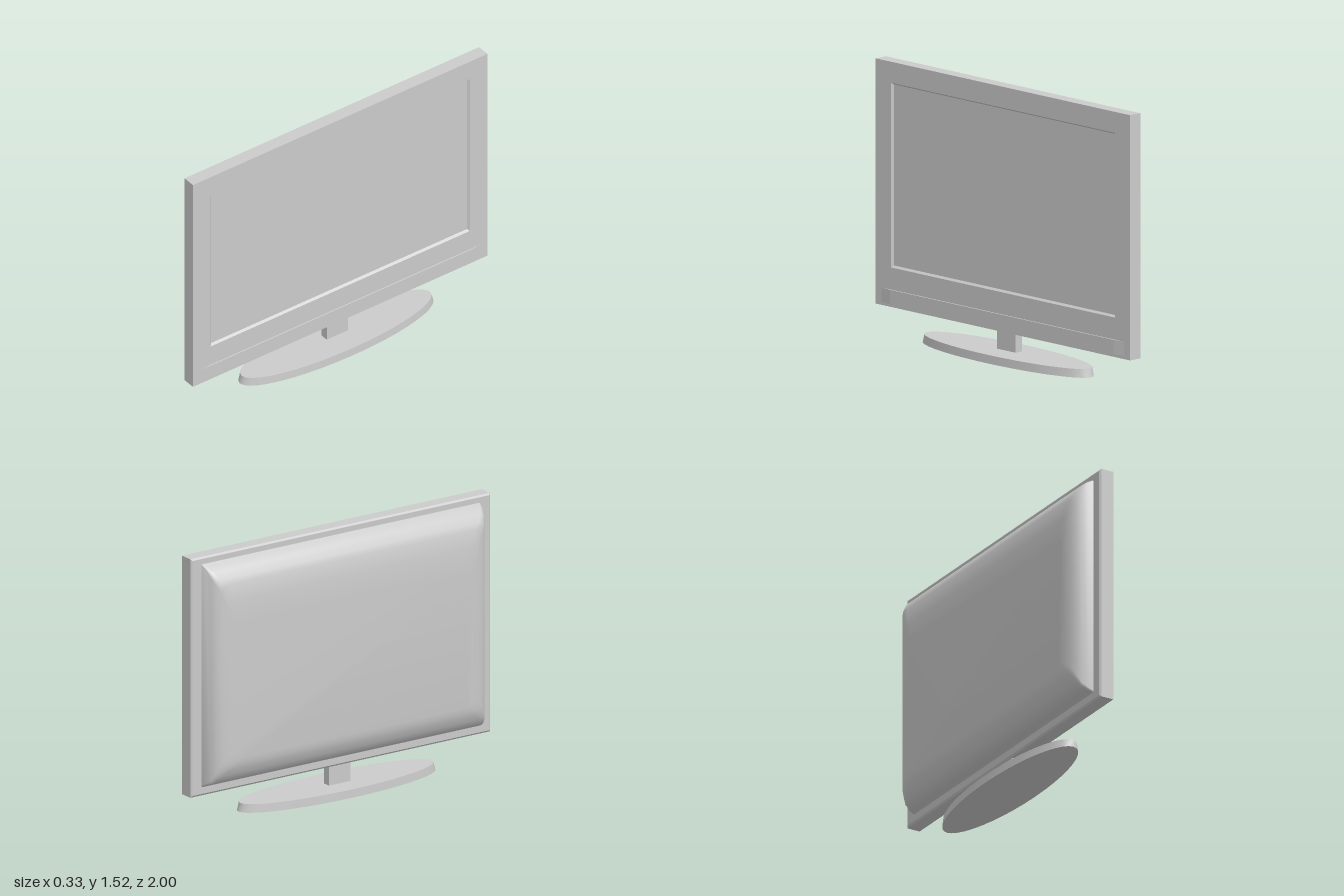
import * as THREE from 'three';
import { toCreasedNormals } from 'three/addons/utils/BufferGeometryUtils.js';

const material = new THREE.MeshStandardMaterial({ color: 0xcccccc });

function part(name, geometry, x = 0, y = 0, z = 0) {
  const mesh = new THREE.Mesh(geometry, material);
  mesh.name = name;
  mesh.position.set(x, y, z);
  return mesh;
}

// Skin over rounded rectangles [x, halfWidth, bottom, top, cornerRadius],
// ordered towards -x, closed at the last one.
function loft(rings, steps, crease) {
  const pos = [], idx = [], count = 4 * (steps + 1);
  for (const [x, half, bottom, top, r] of rings) {
    for (let c = 0; c < 4; c++) {
      const cz = (c === 0 || c === 3 ? 1 : -1) * (half - r);
      const cy = c < 2 ? top - r : bottom + r;
      for (let s = 0; s <= steps; s++) {
        const a = (c + (steps ? s / steps : 0.5)) * Math.PI / 2;
        pos.push(x, cy + r * Math.sin(a), cz + r * Math.cos(a));
      }
    }
  }
  for (let k = 0; k < rings.length - 1; k++) {
    for (let i = 0; i < count; i++) {
      const a = k * count + i, b = k * count + (i + 1) % count;
      idx.push(a, b, b + count, a, b + count, a + count);
    }
  }
  const last = (rings.length - 1) * count;
  for (let i = 1; i < count - 1; i++) idx.push(last, last + i, last + i + 1);
  const geometry = new THREE.BufferGeometry();
  geometry.setAttribute('position', new THREE.Float32BufferAttribute(pos, 3));
  geometry.setIndex(idx);
  return toCreasedNormals(geometry, crease);
}

export function createModel() {
  const group = new THREE.Group();

  // Frame: screen recess, front face, sides and bevelled back
  group.add(part('frame', loft([
    [0.028, 0.87, 0.386, 1.394, 0],
    [0.04, 0.88, 0.375, 1.403, 0],
    [0.04, 1, 0.155, 1.52, 0],
    [-0.037, 1, 0.155, 1.52, 0],
    [-0.045, 0.99, 0.165, 1.51, 0],
  ], 0, 0.3)));

  // Screen panel at the bottom of the recess
  const screen = new THREE.PlaneGeometry(1.74, 1.008);
  screen.rotateY(Math.PI / 2);
  group.add(part('screen', screen, 0.028, 0.89, 0));

  // Bulging back shell
  group.add(part('backShell', loft([
    [-0.04, 0.932, 0.202, 1.482, 0.01],
    [-0.075, 0.924, 0.216, 1.465, 0.015],
    [-0.108, 0.912, 0.232, 1.438, 0.025],
    [-0.135, 0.892, 0.275, 1.402, 0.035],
    [-0.151, 0.865, 0.308, 1.37, 0.045],
    [-0.161, 0.83, 0.335, 1.27, 0.05],
    [-0.166, 0.79, 0.37, 1.19, 0.05],
  ], 4, 0.8)));

  // Raised speaker strip, its ends running out into the frame
  const strip = new THREE.Shape([
    new THREE.Vector2(0.036, -0.99), new THREE.Vector2(0.048, -0.88),
    new THREE.Vector2(0.048, 0.88), new THREE.Vector2(0.036, 0.99),
  ]);
  const stripGeometry = new THREE.ExtrudeGeometry(strip, { depth: 0.08, bevelEnabled: false });
  stripGeometry.rotateX(-Math.PI / 2);
  group.add(part('speakerStrip', stripGeometry, 0, 0.172, 0));

  // Stand: neck and tapered oval base
  group.add(part('neck', new THREE.BoxGeometry(0.048, 0.13, 0.144), -0.01, 0.1, 0));
  const base = new THREE.CylinderGeometry(0.64, 0.652, 0.047, 40);
  base.scale(0.25, 1, 1);
  group.add(part('base', toCreasedNormals(base, 0.6), 0, 0.0235, 0));

  return group;
}
